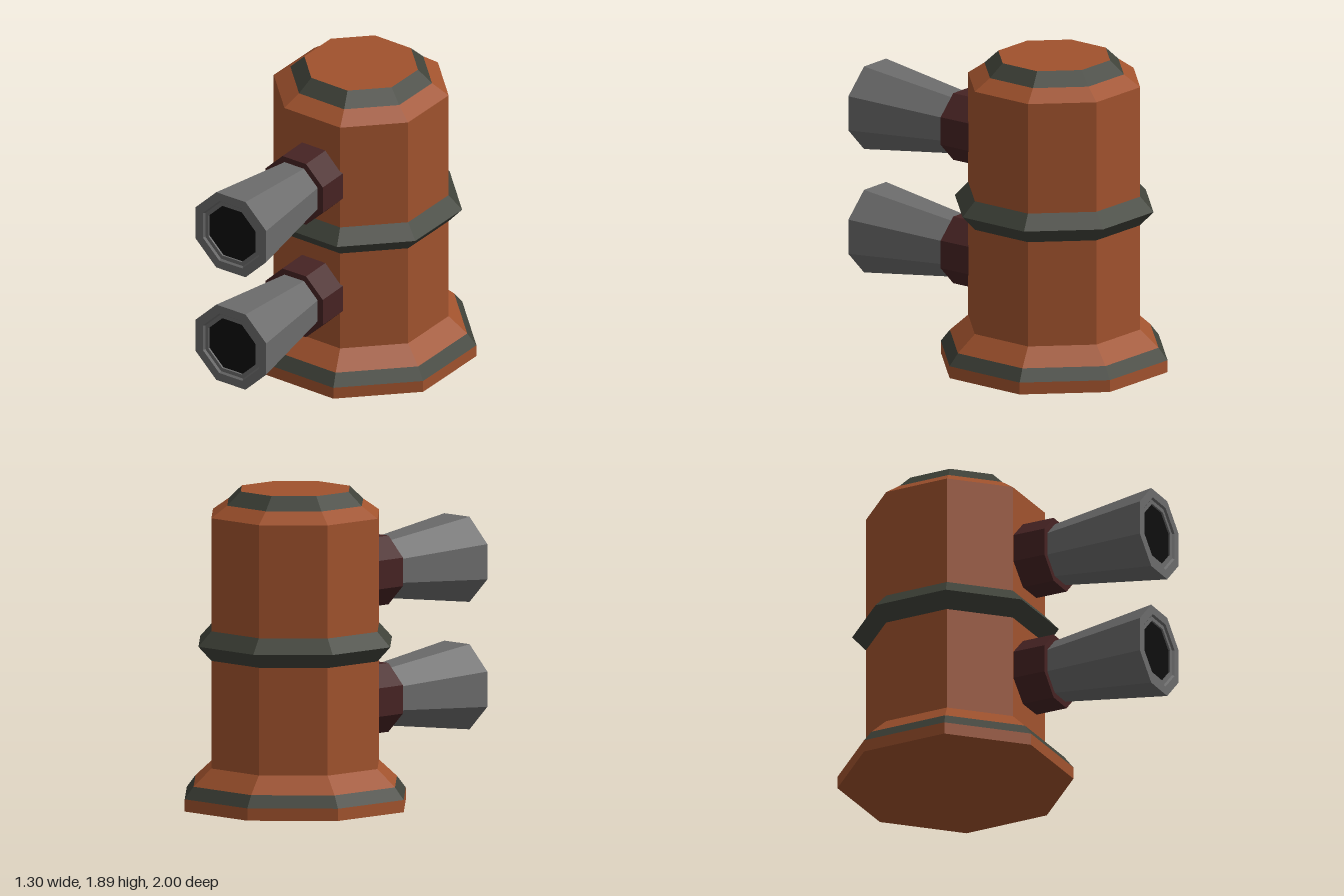
import * as THREE from 'three';

const material = (name, color) => {
  const m = new THREE.MeshStandardMaterial({ color, flatShading: true });
  m.name = name;
  return m;
};

export function createModel() {
  const rust = material('rust brown', 0xa0522d);
  const iron = material('dark iron', 0x3f4239);
  const steel = material('grey steel', 0x6b6b6b);
  const maroon = material('dark maroon', 0x462323);
  const black = material('bore black', 0x0d0d0d);

  const model = new THREE.Group();
  model.name = 'doubleCannonTower';

  // Eight-sided turned part from [radius, height] pairs
  const octagon = (name, mat, profile, turn = 0) => {
    const points = profile.map(([r, y]) => new THREE.Vector2(r, y));
    const mesh = new THREE.Mesh(new THREE.LatheGeometry(points, 8, Math.PI / 8 + turn), mat);
    mesh.name = name;
    return mesh;
  };

  // Tower, stacked from bottom to top
  const tower = new THREE.Group();
  tower.name = 'tower';
  tower.position.z = -0.347;
  const turn = -0.021;
  [
    ['baseSlab', rust, [[0, 0], [0.7, 0], [0.7, 0.073]]],
    ['baseTrim', iron, [[0.7, 0.073], [0.644, 0.145]]],
    ['baseSkirt', rust, [[0.644, 0.145], [0.531, 0.248]]],
    ['lowerBody', rust, [[0.531, 0.248], [0.531, 0.89]]],
    ['middleBand', iron, [[0.531, 0.89], [0.613, 0.978], [0.531, 1.066]]],
    ['upperBody', rust, [[0.531, 1.066], [0.531, 1.74]]],
    ['shoulder', rust, [[0.531, 1.74], [0.43, 1.81]]],
    ['topTrim', iron, [[0.43, 1.81], [0.345, 1.89]]],
    ['topCap', rust, [[0.345, 1.89], [0, 1.89]]],
  ].forEach(([name, mat, profile]) => tower.add(octagon(name, mat, profile, turn)));
  model.add(tower);

  // Two flared cannons pointing forwards, one above the other
  [['lowerCannon', 0.585], ['upperCannon', 1.345]].forEach(([name, y]) => {
    const cannon = new THREE.Group();
    cannon.name = name;
    cannon.position.set(0, y, 0.145);
    cannon.rotation.x = Math.PI / 2;
    cannon.add(
      octagon('collar', maroon, [[0, -0.02], [0.222, -0.02], [0.222, 0.2], [0, 0.2]]),
      // Outer flare, flat rim and a shallow step into the bore
      octagon('barrel', steel, [[0.183, 0.2], [0.275, 0.855], [0.218, 0.855],
        [0.208, 0.843], [0.182, 0.843], [0.182, 0.83]]),
      octagon('bore', black, [[0.182, 0.832], [0, 0.832]]),
    );
    model.add(cannon);
  });

  return model;
}
